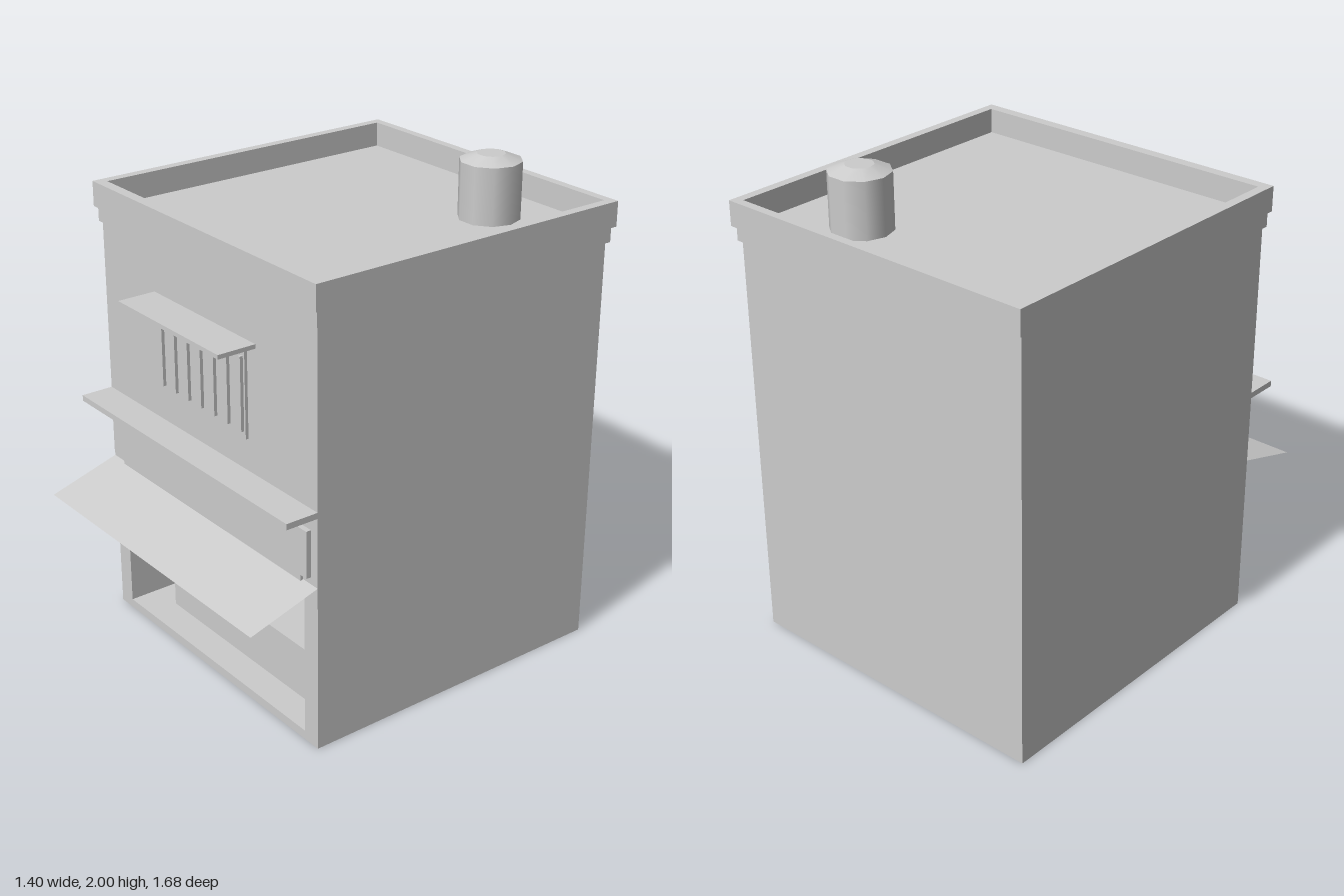
import * as THREE from 'three';

export function createModel() {
  const model = new THREE.Group();
  model.name = 'shopBuilding';
  const plaster = new THREE.MeshStandardMaterial({ color: 0xcccccc });
  plaster.name = 'light grey';
  const sheet = plaster.clone();
  sheet.name = 'light grey sheet';
  sheet.side = THREE.DoubleSide;

  const add = (name, geometry, parent = model, material = plaster) => {
    const mesh = new THREE.Mesh(geometry, material);
    mesh.name = name;
    parent.add(mesh);
    return mesh;
  };
  // Box given by its limits on each axis
  const box = (name, x0, x1, y0, y1, z0, z1, parent = model) => {
    const mesh = add(name, new THREE.BoxGeometry(x1 - x0, y1 - y0, z1 - z0), parent);
    mesh.position.set((x0 + x1) / 2, (y0 + y1) / 2, (z0 + z1) / 2);
    return mesh;
  };
  const group = (name) => {
    const g = new THREE.Group();
    g.name = name;
    model.add(g);
    return g;
  };
  const rectangle = (P, x0, x1, y0, y1) => {
    const p = new P();
    p.moveTo(x0, y0).lineTo(x1, y0).lineTo(x1, y1).lineTo(x0, y1).closePath();
    return p;
  };

  const W = 0.678, FRONT = 0.545, BACK = -0.812, INNER = -0.3;

  // Walls: a front slab with the stall opening, and a solid rear
  const facade = rectangle(THREE.Shape, -W, W, 0, 1.69);
  facade.holes.push(rectangle(THREE.Path, -0.6, 0.6, 0.037, 0.63));
  const facadeGeometry = new THREE.ExtrudeGeometry(facade, { depth: FRONT - INNER, bevelEnabled: false });
  add('frontWalls', facadeGeometry).position.z = INNER;
  box('rearWalls', -W, W, 0, 1.69, BACK, INNER);

  // Flat roof with a stepped cornice and parapet
  box('cornice', -0.69, 0.69, 1.69, 1.75, -0.825, 0.555);
  const rim = rectangle(THREE.Shape, -0.7, 0.7, -0.568, 0.842);
  rim.holes.push(rectangle(THREE.Path, -0.662, 0.662, -0.525, 0.807));
  const parapet = add('parapet', new THREE.ExtrudeGeometry(rim, { depth: 0.1, bevelEnabled: false }));
  parapet.rotation.x = -Math.PI / 2;
  parapet.position.y = 1.75;

  // Ten-sided roof vent with a bevelled cap
  const vent = group('roofVent');
  vent.position.set(0.324, 0, -0.545);
  vent.rotation.y = Math.PI / 2;
  add('ventShaft', new THREE.CylinderGeometry(0.121, 0.121, 0.225, 10, 1, true), vent).position.y = 1.8625;
  add('ventCap', new THREE.CylinderGeometry(0.055, 0.121, 0.025, 10), vent).position.y = 1.9875;

  // Barred upper window with its canopy
  const upperWindow = group('upperWindow');
  box('windowPanel', -0.27, 0.27, 1.12, 1.475, FRONT, 0.557, upperWindow);
  for (let i = -3; i <= 3; i++) {
    const x = i * 0.085;
    box('windowBar', x - 0.006, x + 0.006, 1.15, 1.445, 0.557, 0.57, upperWindow);
  }
  box('windowCanopy', -0.325, 0.322, 1.49, 1.507, FRONT, 0.705, upperWindow);

  // Ledge, blank sign board and awning housing
  box('ledge', -W, W, 0.966, 0.99, FRONT, 0.68);
  box('signBoard', -0.645, 0.64, 0.715, 0.905, FRONT, 0.566);
  box('awningHousing', -0.592, 0.592, 0.63, 0.715, FRONT, 0.556);

  // Sloping sheet awning
  const awningGeometry = new THREE.PlaneGeometry(2 * W, Math.hypot(0.295, 0.09));
  const awning = add('awning', awningGeometry, model, sheet);
  awning.rotation.x = -Math.atan2(0.295, 0.09);
  awning.position.set(0, 0.64, FRONT + 0.1475);

  // Stall interior: counter and shelves
  box('counter', -0.46, 0.46, 0.037, 0.26, 0.05, 0.42);
  box('lowerShelf', -0.6, 0.6, 0.037, 0.21, INNER, -0.1);
  box('upperShelf', -0.6, 0.6, 0.39, 0.402, INNER, -0.14);

  // Goods on the shelves: [x, width, height]
  const goods = group('goods');
  const stock = (y, z, rows) => rows.forEach(([x, w, h]) =>
    box('goodsBox', x - w / 2, x + w / 2, y, y + h, z - 0.04, z + 0.04, goods));
  stock(0.21, -0.18, [
    [-0.555, 0.09, 0.09], [-0.40, 0.05, 0.075], [-0.31, 0.1, 0.13], [-0.2, 0.07, 0.08],
    [-0.085, 0.09, 0.12], [0.03, 0.1, 0.12], [0.125, 0.05, 0.09], [0.2, 0.08, 0.06],
    [0.31, 0.07, 0.12], [0.39, 0.08, 0.06], [0.45, 0.06, 0.09], [0.55, 0.09, 0.085],
  ]);
  stock(0.402, -0.2, [
    [-0.56, 0.09, 0.085], [-0.45, 0.08, 0.085], [-0.36, 0.06, 0.1], [-0.245, 0.08, 0.09],
    [-0.15, 0.07, 0.055], [-0.065, 0.08, 0.045], [0.04, 0.06, 0.12], [0.15, 0.08, 0.1],
    [0.25, 0.08, 0.055], [0.345, 0.08, 0.07], [0.44, 0.08, 0.045], [0.55, 0.09, 0.085],
  ]);
  // Small boxes fixed to the back wall
  for (let i = 0; i < 10; i++) {
    const x = -0.52 + i * 0.1144;
    box('wallBox', x - 0.032, x + 0.032, 0.505, 0.585, INNER, INNER + 0.07, goods);
  }

  return model;
}
